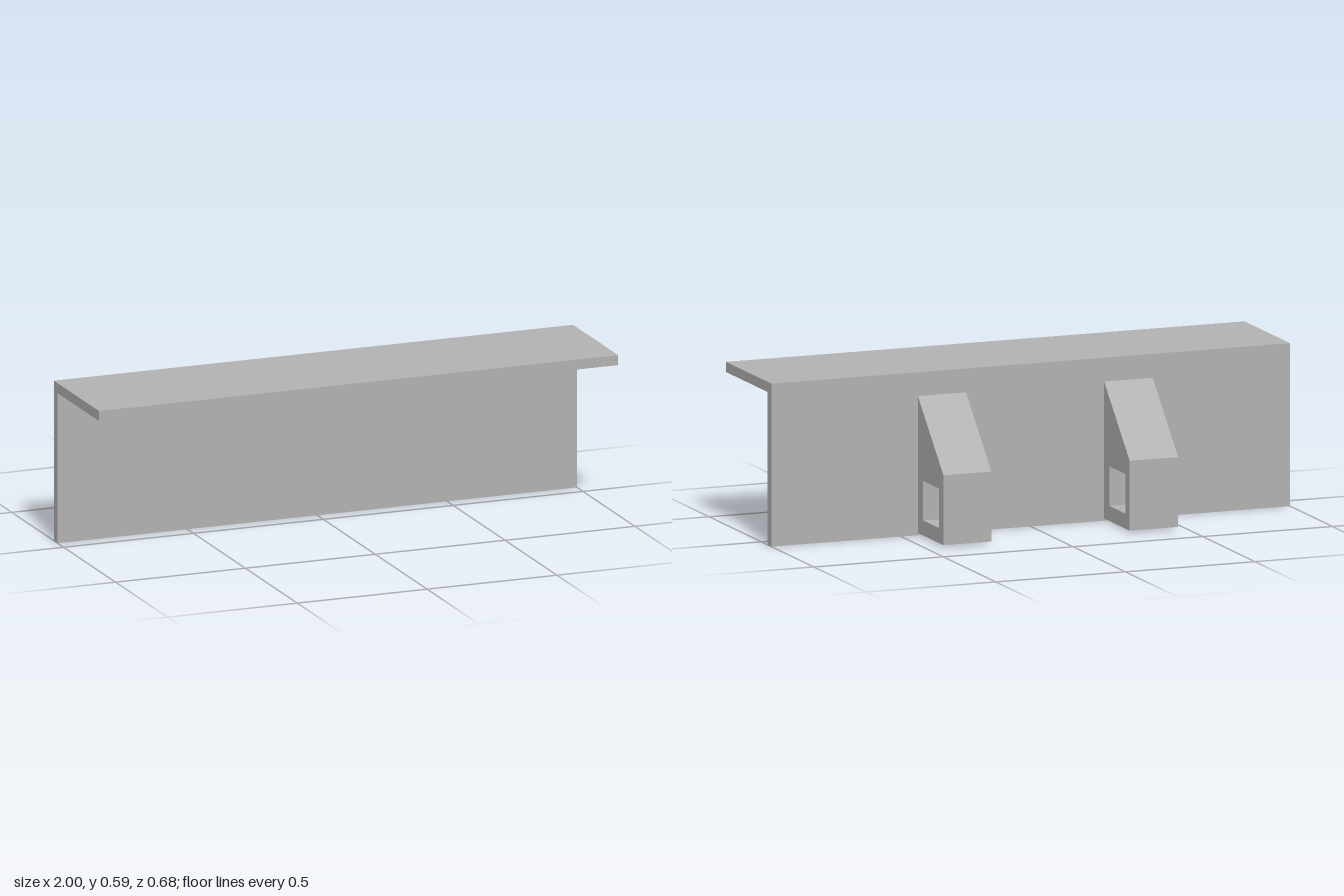
import * as THREE from 'three';

// Extrude a side profile, given as [z, y] points, from x0 to x1
function extrudeProfile(points, x0, x1, hole) {
  const toVectors = (list) => list.map(([z, y]) => new THREE.Vector2(-z, y));
  const shape = new THREE.Shape(toVectors(points));
  if (hole) shape.holes.push(new THREE.Path(toVectors(hole)));
  const geometry = new THREE.ExtrudeGeometry(shape, { depth: x1 - x0, bevelEnabled: false });
  return geometry.rotateY(Math.PI / 2).translate(x0, 0, 0);
}

export function createModel() {
  const group = new THREE.Group();
  const grey = new THREE.MeshStandardMaterial({ color: 0xb2b2b2 });
  grey.name = 'grey';

  const add = (name, geometry) => {
    const mesh = new THREE.Mesh(geometry, grey);
    mesh.name = name;
    group.add(mesh);
  };

  // L-shaped shelf: top ledge and upright back plate in one piece
  add('anglePlate', extrudeProfile([
    [0.34, 0.594], [0.34, 0.557], [-0.058, 0.557],
    [-0.058, 0], [-0.095, 0], [-0.095, 0.594],
  ], -1, 1));

  // Two sloped lugs behind the plate, each with a rectangular through slot
  const lugProfile = [[-0.095, 0.008], [-0.339, 0.008], [-0.339, 0.263], [-0.095, 0.507]];
  const slot = [[-0.145, 0.063], [-0.145, 0.207], [-0.297, 0.207], [-0.297, 0.063]];
  add('rightLug', extrudeProfile(lugProfile, -0.47, -0.283, slot));
  add('leftLug', extrudeProfile(lugProfile, 0.25, 0.435, slot));

  return group;
}
